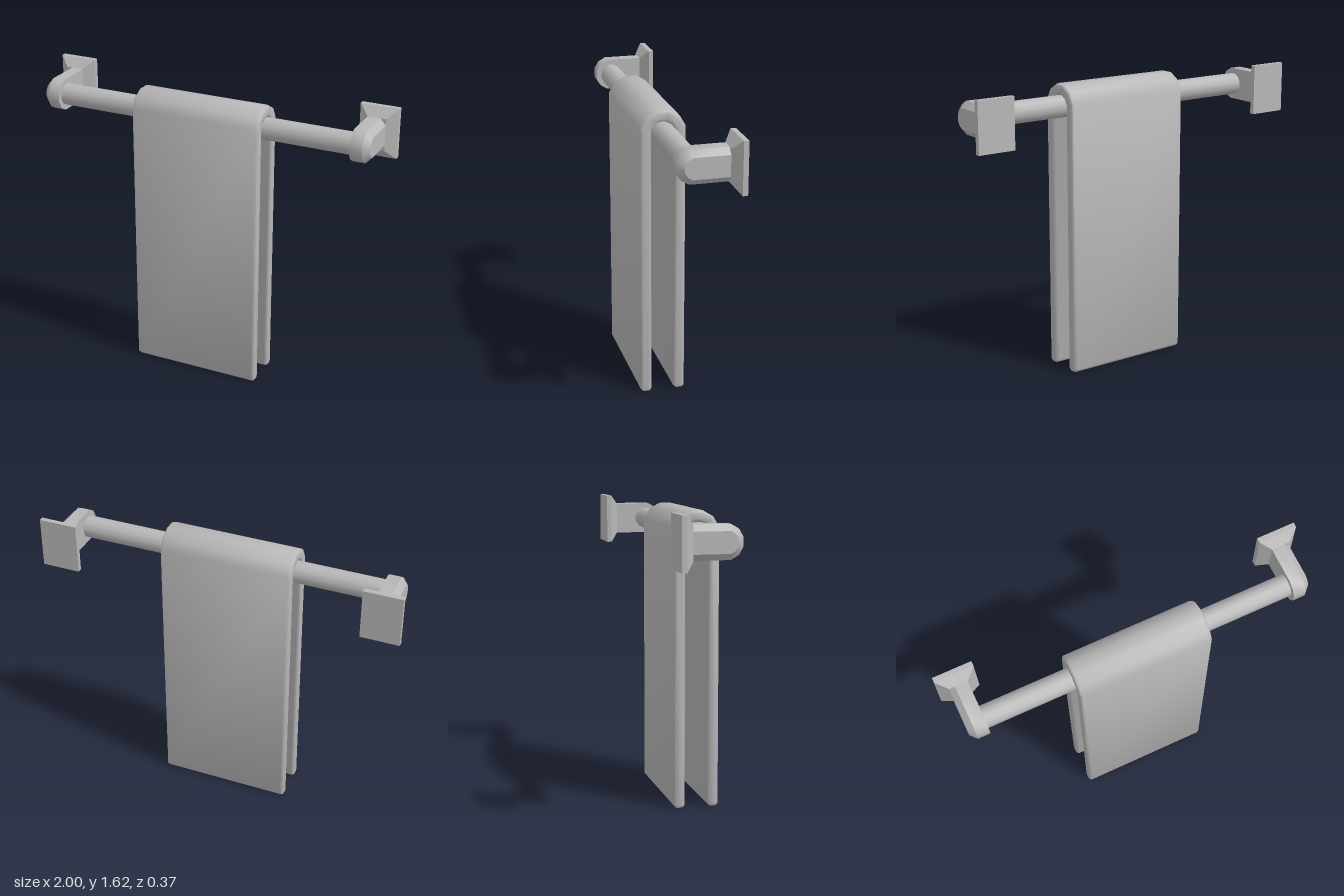
import * as THREE from 'three';
import { toCreasedNormals } from 'three/addons/utils/BufferGeometryUtils.js';

const BAR_Y = 1.4775, BAR_Z = 0.06;
const SEG = Math.PI / 6; // curves are twelve-sided, with a flat facet on top

// Skin between convex rings of [x, y, z] points, closed at both ends
function loft(rings, crease) {
  const n = rings[0].length, last = (rings.length - 1) * n, index = [];
  for (let i = 0; i < last; i += n) {
    for (let j = 0; j < n; j++) {
      const k = (j + 1) % n;
      index.push(i + j, i + k, i + n + k, i + j, i + n + k, i + n + j);
    }
  }
  for (let j = 1; j < n - 1; j++) {
    index.push(0, j + 1, j, last, last + j, last + j + 1);
  }
  const geo = new THREE.BufferGeometry();
  geo.setAttribute('position', new THREE.Float32BufferAttribute(rings.flat(2), 3));
  geo.setIndex(index);
  return toCreasedNormals(geo, crease);
}

// Arm outline: square at the wall, half round at the front
function armRing(x, r) {
  const ring = [[x, -r, -0.12], [x, r, -0.12]];
  const R = r / Math.cos(SEG / 2);
  for (let k = 0; k < 6; k++) {
    const a = SEG * (k + 0.5);
    ring.push([x, R * Math.cos(a), 0.0575 + R * Math.sin(a)]);
  }
  return ring;
}

function rectRing(x0, x1, h, z) {
  return [[x0, -h, z], [x1, -h, z], [x1, h, z], [x0, h, z]];
}

// Towel folded over the bar, as a side outline extruded along x
function towelGeometry() {
  const outer = 0.122, inner = 0.062, c = 0.014, bevel = 0.015, width = 0.733;
  const pts = [];
  const arc = (r, from, step) => {
    const R = r / Math.cos(SEG / 2);
    for (let k = 0; k < 6; k++) {
      const a = SEG * (from + step * k);
      pts.push([R * Math.cos(a), BAR_Y - 0.004 + R * Math.sin(a)]);
    }
  };
  pts.push([inner, c], [inner + c, 0], [outer - c, 0], [outer, c]);
  arc(outer, 0.5, 1);
  pts.push([-outer, c], [-outer + c, 0], [-inner - c, 0], [-inner, c]);
  arc(inner, 5.5, -1);
  const shape = new THREE.Shape(pts.map(([z, y]) => new THREE.Vector2(z, y)));
  const geo = new THREE.ExtrudeGeometry(shape, {
    depth: width - 2 * bevel, bevelEnabled: true, bevelSize: bevel,
    bevelThickness: bevel, bevelOffset: -bevel, bevelSegments: 2,
  });
  geo.translate(0, 0, bevel - width / 2);
  geo.rotateY(-Math.PI / 2);
  return toCreasedNormals(geo, 0.85);
}

export function createModel() {
  const model = new THREE.Group();
  model.name = 'towelRail';
  const grey = new THREE.MeshStandardMaterial({ color: 0xb8b8b8 });
  grey.name = 'grey';

  const add = (parent, name, geo) => {
    const mesh = new THREE.Mesh(geo, grey);
    mesh.name = name;
    parent.add(mesh);
    return mesh;
  };

  // Bar
  const barGeo = new THREE.CylinderGeometry(0.06, 0.06, 1.74, 12);
  barGeo.rotateY(SEG / 2);
  barGeo.rotateZ(Math.PI / 2);
  add(model, 'bar', barGeo).position.set(0, BAR_Y, BAR_Z);

  // Towel
  add(model, 'towel', towelGeometry()).position.set(-0.003, 0, 0.0615);

  // Wall brackets: the right one is the left one turned half round
  const armGeo = loft([armRing(0.845, 0.0875), armRing(0.913, 0.0875), armRing(0.945, 0.055)], 0.6);
  const plateGeo = loft([
    rectRing(0.79, 1, 0.1375, -0.185),
    rectRing(0.79, 1, 0.1375, -0.158),
    rectRing(0.845, 0.945, 0.0875, -0.115),
  ], 0.3);
  for (const side of ['left', 'right']) {
    const bracket = new THREE.Group();
    bracket.name = side + 'Bracket';
    bracket.position.y = BAR_Y;
    if (side === 'right') bracket.rotation.z = Math.PI;
    add(bracket, 'arm', armGeo);
    add(bracket, 'wallPlate', plateGeo);
    model.add(bracket);
  }
  return model;
}
